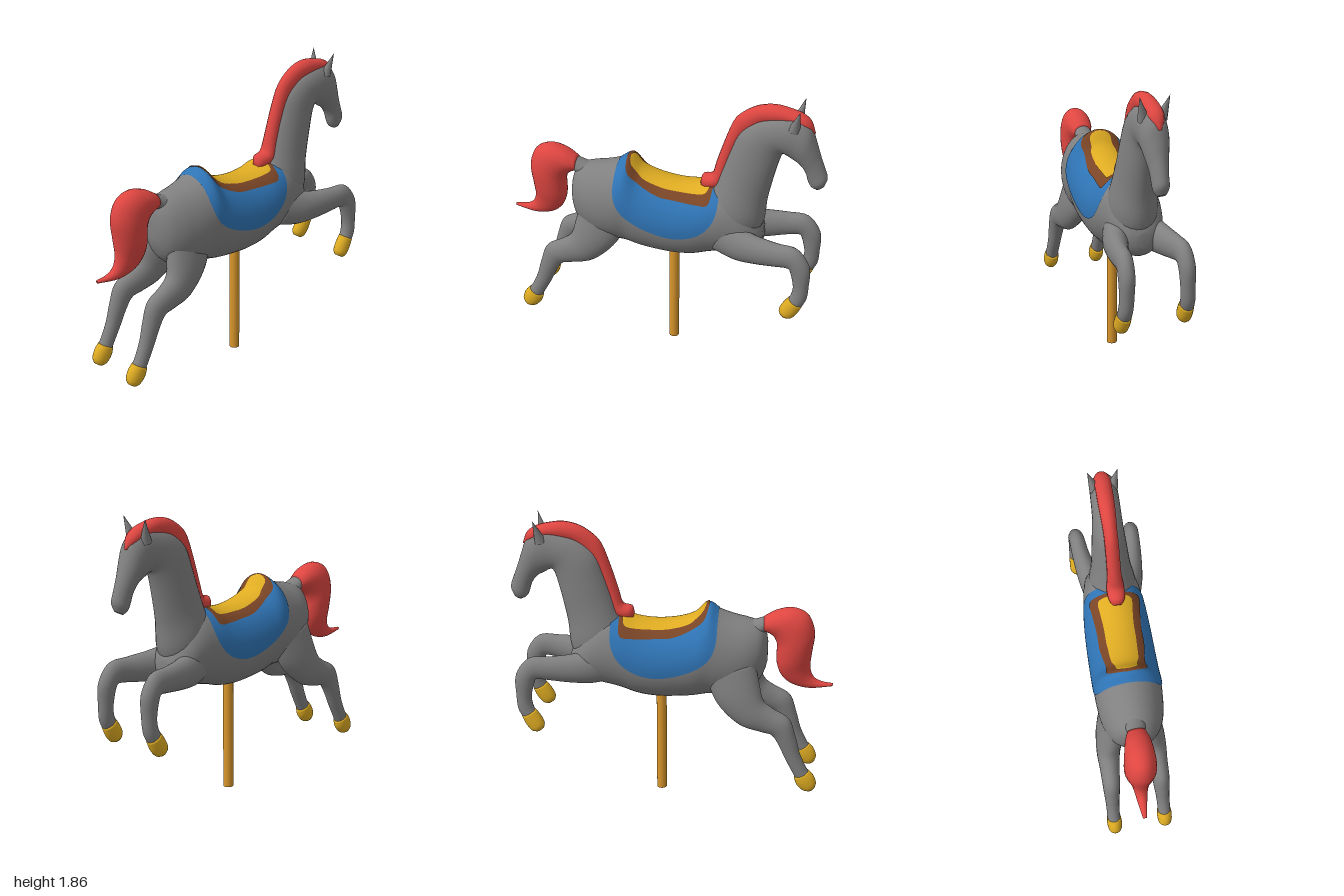
import * as THREE from 'three';

const mat = (name, color, side = THREE.FrontSide) => {
  const m = new THREE.MeshStandardMaterial({ color, side });
  m.name = name;
  return m;
};

// Smooth curves through both edges of a row of sections [z1, y1, z2, y2, halfWidth, x]
function sections(rows) {
  const curve = pts => new THREE.CatmullRomCurve3(pts, false, 'catmullrom', 0.5);
  const first = curve(rows.map(r => new THREE.Vector3(r[5] ?? 0, r[1], r[0])));
  const second = curve(rows.map(r => new THREE.Vector3(r[4], r[3], r[2])));
  return t => ({ p: first.getPoint(t), q: second.getPoint(t) });
}

// Point on the ellipse of one section; angle 0 lies on the first edge
function ringPoint({ p, q }, angle, grow = 0) {
  const hy = (p.y - q.y) / 2, hz = (p.z - q.z) / 2;
  const k = Math.cos(angle) * (1 + grow / Math.max(Math.hypot(hy, hz), 1e-4));
  return [p.x + (q.x + grow) * Math.sin(angle), (p.y + q.y) / 2 + hy * k, (p.z + q.z) / 2 + hz * k];
}

// Closed tube skinned over the sections
function loft(name, rows, material, around = 28, perRow = 5) {
  const at = sections(rows), steps = (rows.length - 1) * perRow;
  const pos = [], idx = [];
  for (let i = 0; i <= steps; i++)
    for (let j = 0; j < around; j++) pos.push(...ringPoint(at(i / steps), j / around * Math.PI * 2));
  for (let i = 0; i < steps; i++)
    for (let j = 0; j < around; j++) {
      const k = (j + 1) % around, a = i * around + j, b = i * around + k;
      idx.push(a, b, a + around, b, b + around, a + around);
    }
  // End caps
  for (const [i, flip] of [[0, true], [steps, false]]) {
    const { p, q } = at(i / steps), c = pos.length / 3;
    pos.push(p.x, (p.y + q.y) / 2, (p.z + q.z) / 2);
    for (let j = 0; j < around; j++) {
      const a = i * around + j, b = i * around + (j + 1) % around;
      idx.push(c, flip ? b : a, flip ? a : b);
    }
  }
  // Turn the faces outward
  let volume = 0;
  const v = n => new THREE.Vector3().fromArray(pos, n * 3);
  for (let i = 0; i < idx.length; i += 3) volume += v(idx[i]).dot(v(idx[i + 1]).cross(v(idx[i + 2])));
  if (volume < 0) idx.reverse();
  return surface(name, pos, idx, material);
}

function surface(name, pos, idx, material) {
  const g = new THREE.BufferGeometry();
  g.setAttribute('position', new THREE.Float32BufferAttribute(pos, 3));
  g.setIndex(idx);
  g.computeVertexNormals();
  const mesh = new THREE.Mesh(g, material);
  mesh.name = name;
  return mesh;
}

// Sections square to a path of [z, y, radius, halfWidth, x]
const limb = path => path.map(([z, y, r, w, x], i) => {
  const a = path[Math.max(i - 1, 0)], b = path[Math.min(i + 1, path.length - 1)];
  const dz = b[0] - a[0], dy = b[1] - a[1], l = Math.hypot(dz, dy);
  const nz = -dy / l * r, ny = dz / l * r;
  return [z + nz, y + ny, z - nz, y - ny, w, x];
});

const TORSO = [
  [0.59, 1.10, 0.97, 0.03], [0.575, 1.17, 0.91, 0.085], [0.54, 1.22, 0.84, 0.135], [0.47, 1.245, 0.78, 0.175],
  [0.38, 1.265, 0.74, 0.197], [0.29, 1.295, 0.74, 0.206], [0.22, 1.335, 0.735, 0.208], [0.14, 1.255, 0.72, 0.208],
  [0.04, 1.215, 0.71, 0.207], [-0.09, 1.198, 0.705, 0.205], [-0.21, 1.208, 0.72, 0.2], [-0.32, 1.24, 0.755, 0.19],
  [-0.44, 1.24, 0.78, 0.175], [-0.54, 1.15, 0.795, 0.15], [-0.61, 1.03, 0.83, 0.1], [-0.635, 0.97, 0.88, 0.04],
].map(([z, top, bottom, w]) => [z, top, z, bottom, w, -0.01]);

// Thin cover draped over the back, down to a side outline of [z, y]
function drape(name, outline, offset, material) {
  const at = sections(TORSO);
  const edge = new THREE.CatmullRomCurve3(outline.map(([z, y]) => new THREE.Vector3(0, y, z)));
  const steps = 70, across = 36, pos = [], idx = [];
  for (let i = 0; i <= steps; i++) {
    const e = edge.getPoint(i / steps);
    let lo = 0, hi = 1;
    for (let n = 0; n < 30; n++) {
      const mid = (lo + hi) / 2;
      if (at(mid).p.z > e.z) lo = mid; else hi = mid;
    }
    const s = at(lo), mid = (s.p.y + s.q.y) / 2;
    const reach = Math.acos(THREE.MathUtils.clamp((e.y - mid) / (s.p.y - mid), -1, 1));
    for (let j = 0; j <= across; j++) pos.push(...ringPoint(s, (j / across * 2 - 1) * reach, offset));
  }
  for (let i = 0; i < steps; i++)
    for (let j = 0; j < across; j++) {
      const a = i * (across + 1) + j, b = a + across + 1;
      idx.push(a, a + 1, b, a + 1, b + 1, b);
    }
  // Keep the upper side as the front
  const mesh = surface(name, pos, idx, material);
  if (mesh.geometry.attributes.normal.getY(35 * (across + 1) + across / 2) < 0) {
    mesh.geometry.setIndex(idx.reverse());
    mesh.geometry.computeVertexNormals();
  }
  return mesh;
}

export function createModel() {
  const grey = mat('grey coat', 0x808080);
  const red = mat('red hair', 0xdf4641);
  const gold = mat('gold', 0xdfac22);
  const goldSeat = gold.clone();
  goldSeat.side = THREE.DoubleSide;
  const blue = mat('blue cloth', 0x2f74b5, THREE.DoubleSide);
  const brown = mat('brown leather', 0x7a4526, THREE.DoubleSide);
  const wood = mat('pole wood', 0xd9962b);
  const model = new THREE.Group();
  model.name = 'carouselHorse';

  // Pole
  const pole = new THREE.Mesh(new THREE.CylinderGeometry(0.032, 0.032, 0.85, 24), wood);
  pole.name = 'pole';
  pole.position.set(-0.003, 0.425, -0.07);
  model.add(pole);

  // Body, neck and head
  model.add(loft('torso', TORSO, grey, 40));
  model.add(loft('neckAndHead', [
    [-0.22, 1.15, -0.47, 0.83, 0.14, 0], [-0.31, 1.23, -0.62, 0.98, 0.145, 0], [-0.36, 1.36, -0.65, 1.19, 0.12, 0],
    [-0.41, 1.51, -0.685, 1.37, 0.106, 0], [-0.46, 1.64, -0.715, 1.49, 0.095, 0], [-0.56, 1.73, -0.735, 1.525, 0.088, 0.003],
    [-0.68, 1.775, -0.755, 1.52, 0.086, 0.006], [-0.80, 1.79, -0.785, 1.50, 0.084, 0.008], [-0.88, 1.73, -0.82, 1.48, 0.08, 0.01],
    [-0.92, 1.63, -0.85, 1.45, 0.068, 0.01], [-0.95, 1.54, -0.872, 1.41, 0.056, 0.01], [-0.98, 1.46, -0.885, 1.365, 0.05, 0.01],
    [-1.0, 1.395, -0.905, 1.33, 0.046, 0.01], [-0.985, 1.34, -0.935, 1.312, 0.025, 0.01],
  ], grey));

  // Ears
  for (const s of [-1, 1]) {
    const ear = new THREE.Mesh(new THREE.ConeGeometry(0.036, 0.15, 10), grey);
    ear.name = s > 0 ? 'leftEar' : 'rightEar';
    ear.position.set(0.007 + s * 0.07, 1.787, -0.81);
    ear.rotation.set(-0.25, 0, -s * 0.25);
    model.add(ear);
  }

  // Mane, forelock and tail
  model.add(loft('mane', [
    [-0.235, 1.25, -0.25, 1.2, 0.025], [-0.25, 1.295, -0.3, 1.2, 0.05], [-0.305, 1.31, -0.38, 1.25, 0.055],
    [-0.33, 1.40, -0.41, 1.35, 0.045], [-0.375, 1.55, -0.45, 1.5, 0.042], [-0.425, 1.69, -0.5, 1.6, 0.042],
    [-0.475, 1.755, -0.55, 1.65, 0.042], [-0.56, 1.81, -0.60, 1.7, 0.046], [-0.66, 1.832, -0.67, 1.72, 0.05],
    [-0.75, 1.82, -0.74, 1.73, 0.05], [-0.83, 1.796, -0.79, 1.72, 0.05], [-0.882, 1.755, -0.83, 1.70, 0.042],
    [-0.91, 1.685, -0.87, 1.68, 0.012],
  ].map(r => [...r, 0.003]), red, 14, 3));
  model.add(loft('tailDock', [
    [0.46, 1.23, 0.46, 1.1, 0.07, -0.012], [0.53, 1.25, 0.54, 1.15, 0.06, -0.012], [0.585, 1.275, 0.58, 1.175, 0.05, -0.012],
  ], grey));
  model.add(loft('tail', [
    [0.56, 1.265, 0.565, 1.175, 0.055], [0.64, 1.312, 0.60, 1.16, 0.075], [0.74, 1.332, 0.63, 1.13, 0.088],
    [0.83, 1.29, 0.645, 1.08, 0.096], [0.872, 1.18, 0.643, 1.02, 0.098], [0.862, 1.05, 0.65, 0.95, 0.088],
    [0.855, 0.95, 0.68, 0.88, 0.065], [0.875, 0.88, 0.74, 0.827, 0.045], [0.925, 0.845, 0.85, 0.80, 0.03],
    [1.0, 0.835, 0.996, 0.817, 0.012],
  ].map((r, i) => [...r, -0.013 - i * 0.0015]), red));

  // Blanket and saddle
  model.add(drape('blanket', [
    [0.285, 1.29], [0.275, 1.14], [0.23, 1.045], [0.12, 0.965], [-0.09, 0.91], [-0.24, 0.945], [-0.33, 1.025], [-0.37, 1.13], [-0.365, 1.23],
  ], 0.004, blue));
  model.add(drape('saddleRim', [
    [0.23, 1.34], [0.2, 1.27], [0.13, 1.205], [0.01, 1.152], [-0.1, 1.14], [-0.24, 1.14], [-0.31, 1.155], [-0.325, 1.235],
  ], 0.009, brown));
  model.add(drape('seat', [
    [0.215, 1.34], [0.185, 1.29], [0.12, 1.225], [0.01, 1.187], [-0.1, 1.175], [-0.24, 1.185], [-0.29, 1.205], [-0.305, 1.25],
  ], 0.014, goldSeat));

  // Legs with hooves
  const addLeg = (name, legPath, hoofPath) => {
    const leg = new THREE.Group();
    leg.name = name;
    leg.add(loft(name + 'Limb', limb(legPath), grey, 24), loft(name + 'Hoof', limb(hoofPath), gold, 20, 4));
    model.add(leg);
  };
  for (const s of [-1, 1]) {
    const side = s > 0 ? 'left' : 'right';
    const lift = s > 0 ? 0 : 0.012;
    const fore = ([z, y, r, w, x]) => [z, y + lift, r, w, s * x + (s > 0 ? 0.005 : 0.012)];
    addLeg(side + 'FrontLeg', [
      [-0.36, 0.94, 0.12, 0.07, 0.08], [-0.5, 0.905, 0.11, 0.08, 0.115], [-0.62, 0.9, 0.093, 0.07, 0.145], [-0.75, 0.906, 0.078, 0.056, 0.17],
      [-0.85, 0.905, 0.074, 0.05, 0.18], [-0.903, 0.84, 0.062, 0.048, 0.185], [-0.917, 0.72, 0.048, 0.043, 0.188],
      [-0.91, 0.64, 0.049, 0.042, 0.192], [-0.885, 0.585, 0.048, 0.04, 0.195],
    ].map(fore), [
      [-0.893, 0.6, 0.05, 0.043, 0.194], [-0.865, 0.55, 0.056, 0.045, 0.195], [-0.838, 0.505, 0.05, 0.042, 0.197], [-0.825, 0.483, 0.03, 0.025, 0.197],
    ].map(fore));
    const hind = ([z, y, r, w, x]) => [z, y, r, w, s * x - 0.03];
    addLeg(side + 'HindLeg', [
      [0.36, 0.99, 0.16, 0.07, 0.10], [0.415, 0.81, 0.148, 0.088, 0.12], [0.5, 0.69, 0.113, 0.075, 0.145], [0.6, 0.64, 0.088, 0.062, 0.153],
      [0.685, 0.6, 0.078, 0.056, 0.157], [0.73, 0.51, 0.06, 0.05, 0.16], [0.77, 0.4, 0.05, 0.043, 0.163],
      [0.815, 0.305, 0.046, 0.041, 0.165], [0.84, 0.26, 0.048, 0.041, 0.165],
    ].map(hind), [
      [0.832, 0.272, 0.052, 0.044, 0.165], [0.855, 0.23, 0.062, 0.048, 0.165], [0.883, 0.185, 0.052, 0.043, 0.165], [0.897, 0.162, 0.028, 0.026, 0.165],
    ].map(hind));
  }
  return model;
}
